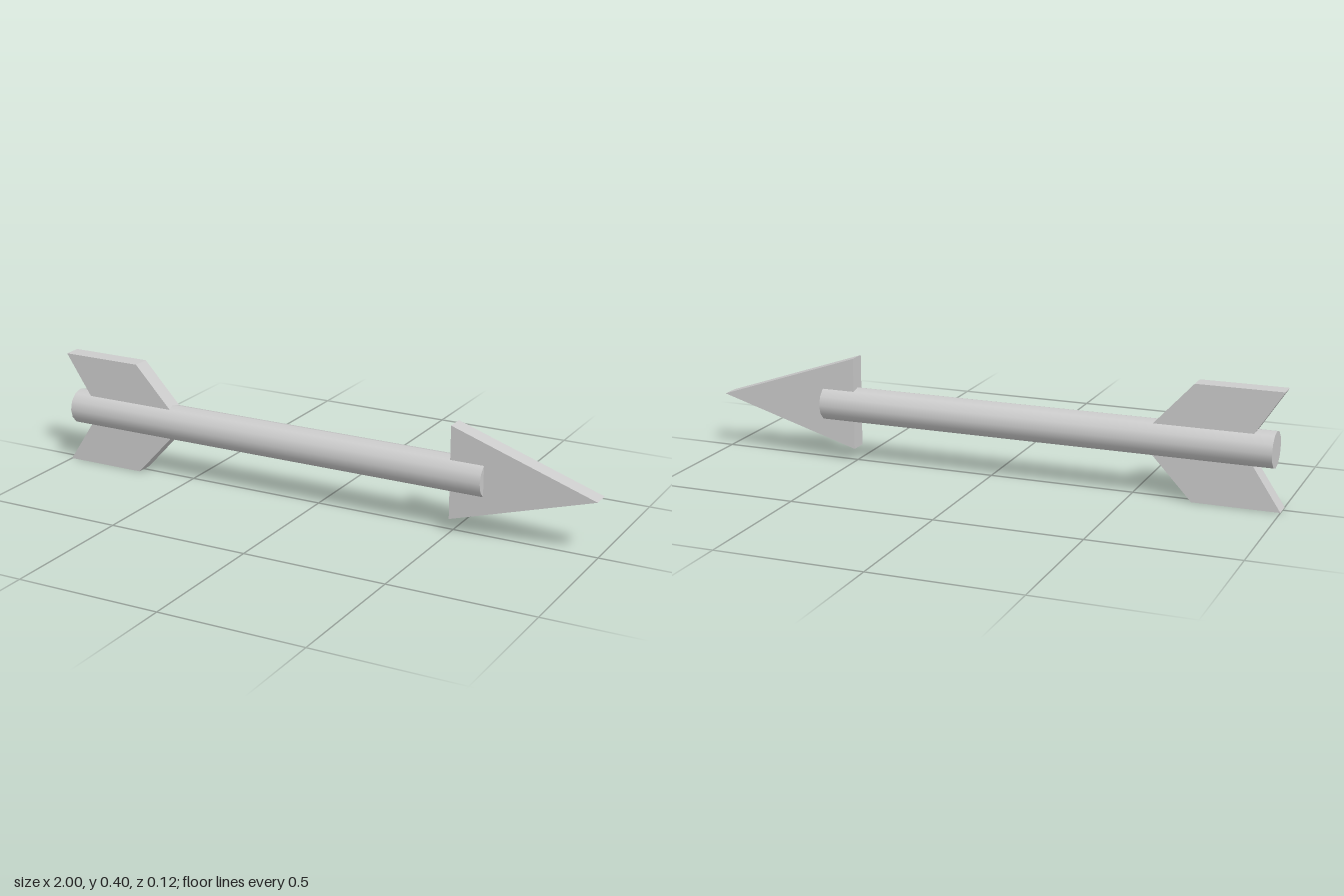
import * as THREE from 'three';

const AXIS_Y = 0.198;
const THICKNESS = 0.0617;

export function createModel() {
  const group = new THREE.Group();
  group.name = 'arrow';
  const material = new THREE.MeshStandardMaterial({ color: 0xcccccc });

  // Flat plate from an outline in x/y, centred on z = 0
  const addPlate = (name, points) => {
    const shape = new THREE.Shape(points.map(([x, y]) => new THREE.Vector2(x, y)));
    const geometry = new THREE.ExtrudeGeometry(shape, { depth: THICKNESS, bevelEnabled: false });
    geometry.translate(0, 0, -THICKNESS / 2);
    const mesh = new THREE.Mesh(geometry, material);
    mesh.name = name;
    group.add(mesh);
  };

  // Round shaft lying along x, with capped ends
  const start = -0.972, end = 0.615;
  const shaftGeometry = new THREE.CylinderGeometry(0.0617, 0.0617, end - start, 12);
  shaftGeometry.rotateZ(-Math.PI / 2);
  const shaft = new THREE.Mesh(shaftGeometry, material);
  shaft.name = 'shaft';
  shaft.position.set((start + end) / 2, AXIS_Y, 0);
  group.add(shaft);

  // Triangular head, wrapped around the front of the shaft
  addPlate('head', [[0.497, 0.047], [1, 0.197], [0.497, 0.368]]);

  // Swept fins above and below, rooted inside the shaft
  for (const [name, s] of [['upperFin', 1], ['lowerFin', -1]]) {
    const outline = [[-1, 0.198], [-0.707, 0.198], [-0.555, 0.035], [-0.893, 0.035]];
    addPlate(name, outline.map(([x, y]) => [x, AXIS_Y + s * y]));
  }

  return group;
}
